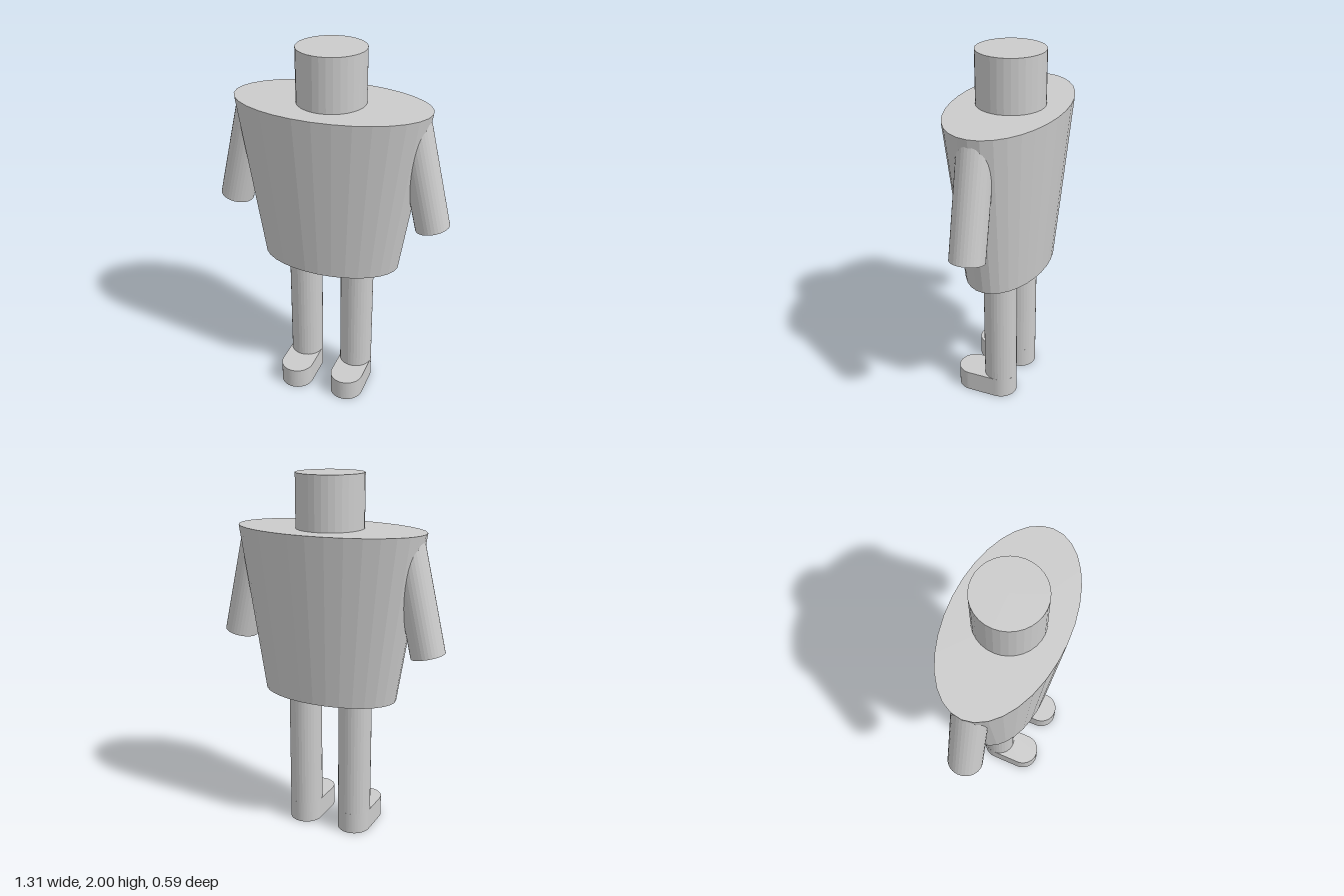
import * as THREE from 'three';

const SIDES = 32;
const LIMB = 0.092;
const material = new THREE.MeshStandardMaterial({ color: 0xcccccc, flatShading: true });

function add(parent, name, geometry, x = 0, y = 0, z = 0) {
  const mesh = new THREE.Mesh(geometry, material);
  mesh.name = name;
  mesh.position.set(x, y, z);
  parent.add(mesh);
  return mesh;
}

// Upright cylinder spanning y0 to y1
function column(parent, name, rTop, rBottom, y0, y1, x = 0) {
  const geometry = new THREE.CylinderGeometry(rTop, rBottom, y1 - y0, SIDES);
  return add(parent, name, geometry, x, (y0 + y1) / 2);
}

// Foot slab: a stadium outline from heel to rounded toe
function footGeometry(reach, height) {
  const shape = new THREE.Shape();
  shape.absarc(0, 0, LIMB, 0, Math.PI, false);
  shape.absarc(0, -reach, LIMB, Math.PI, Math.PI * 2, false);
  shape.closePath();
  const geometry = new THREE.ExtrudeGeometry(shape, { depth: height, bevelEnabled: false, curveSegments: SIDES / 2 });
  return geometry.rotateX(-Math.PI / 2);
}

export function createModel() {
  const model = new THREE.Group();
  model.name = 'figure';

  // Oval tapering torso and round head
  column(model, 'torso', 0.53, 0.385, 0.8, 1.715).scale.z = 0.557;
  column(model, 'head', 0.182, 0.182, 1.715, 2);

  for (const [side, s] of [['left', 1], ['right', -1]]) {
    // Leg and foot
    column(model, side + 'Leg', LIMB, LIMB, 0, 0.8, s * 0.153);
    add(model, side + 'Foot', footGeometry(0.163, 0.12), s * 0.153);

    // Arm swung outward, its top buried in the shoulder
    const tilt = 0.228, length = 0.6;
    const arm = add(model, side + 'Arm', new THREE.CylinderGeometry(LIMB, LIMB, length, SIDES),
      s * (0.563 - Math.sin(tilt) * length / 2), 1.09 + Math.cos(tilt) * length / 2);
    arm.rotation.z = s * tilt;
  }
  return model;
}
